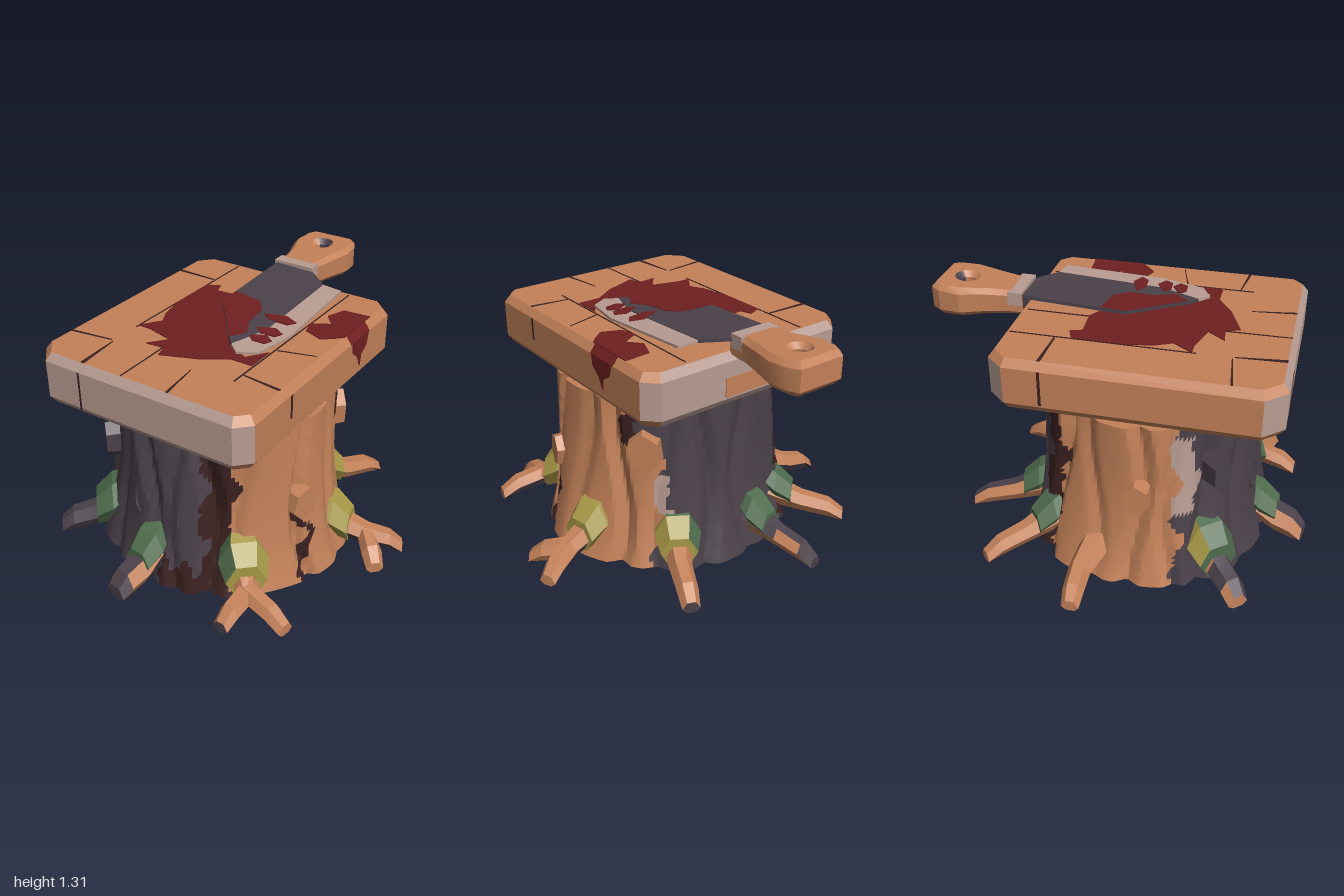
import * as THREE from 'three';
import { toCreasedNormals } from 'three/addons/utils/BufferGeometryUtils.js';

const material = (name, color) => {
  const m = new THREE.MeshStandardMaterial({ color });
  m.name = name;
  return m;
};
const wood = material('wood', 0xc38159);
const bark = material('darkBark', 0x4b414a);
const brown = material('darkBrown', 0x3a2120);
const pale = material('paleWood', 0xb89c91);
const blood = material('redStain', 0x6f1f20);
const green = material('greenMoss', 0x4e6b4c);
const yellow = material('yellowMoss', 0xa59746);

const CX = -0.03, CZ = 0.13; // stump axis
const V = (x, y, z) => new THREE.Vector3(x, y, z);
const rad = THREE.MathUtils.degToRad;

// Mesh whose triangles are sorted into material groups by normal and centre.
function painted(name, source, pick, crease = 0.6) {
  const p = (source.index ? source.toNonIndexed() : source).attributes.position;
  const buckets = new Map();
  const t = new THREE.Triangle(), n = V(), c = V();
  for (let i = 0; i < p.count; i += 3) {
    t.setFromAttributeAndIndices(p, i, i + 1, i + 2);
    t.getNormal(n);
    t.getMidpoint(c);
    const m = pick(n, c);
    if (!buckets.has(m)) buckets.set(m, []);
    for (const v of [t.a, t.b, t.c]) buckets.get(m).push(v.x, v.y, v.z);
  }
  const geo = new THREE.BufferGeometry(), all = [], mats = [];
  for (const [m, list] of buckets) {
    geo.addGroup(all.length / 3, list.length / 3, mats.length);
    mats.push(m);
    for (const v of list) all.push(v);
  }
  geo.setAttribute('position', new THREE.Float32BufferAttribute(all, 3));
  const mesh = new THREE.Mesh(toCreasedNormals(geo, crease), mats);
  mesh.name = name;
  return mesh;
}

// Skin a row of closed rings and cap both ends.
function loft(rings) {
  const pos = [], tri = (...vs) => vs.forEach(v => pos.push(v.x, v.y, v.z));
  const n = rings[0].length, last = rings.length - 1;
  const mid = ring => ring.reduce((s, v) => s.add(v), V()).divideScalar(n);
  const c0 = mid(rings[0]), c1 = mid(rings[last]);
  for (let i = 0; i < n; i++) {
    const j = (i + 1) % n;
    for (let k = 0; k < last; k++) {
      tri(rings[k][i], rings[k][j], rings[k + 1][j]);
      tri(rings[k][i], rings[k + 1][j], rings[k + 1][i]);
    }
    tri(c0, rings[0][j], rings[0][i]);
    tri(c1, rings[last][i], rings[last][j]);
  }
  const geo = new THREE.BufferGeometry();
  geo.setAttribute('position', new THREE.Float32BufferAttribute(pos, 3));
  return geo;
}

// Tapered six-sided limb through points [x, y, z, radius].
function limb(points) {
  return loft(points.map(([x, y, z, r], k) => {
    const a = points[Math.max(k - 1, 0)], b = points[Math.min(k + 1, points.length - 1)];
    const d = V(b[0] - a[0], 0, b[2] - a[2]).normalize();
    return Array.from({ length: 6 }, (_, i) => {
      const t = i * Math.PI / 3, s = Math.cos(t) * r;
      return V(x + d.z * s, Math.max(0, y + Math.sin(t) * r), z - d.x * s);
    });
  }));
}

// Horizontal slab from an [x, z] outline, base at height y.
function slab(points, y, depth, bevel = 0, bevelHeight = 0, hole) {
  const shape = new THREE.Shape(points.map(([x, z]) => new THREE.Vector2(x, -z)));
  if (hole) shape.holes.push(new THREE.Path().absarc(hole[0], -hole[1], hole[2], 0, Math.PI * 2));
  return new THREE.ExtrudeGeometry(shape, {
    depth: depth - 2 * bevelHeight, bevelEnabled: bevel > 0, bevelSegments: 1, curveSegments: 8,
    bevelSize: bevel, bevelThickness: bevelHeight, bevelOffset: -bevel,
  }).rotateX(-Math.PI / 2).translate(0, y + bevelHeight, 0);
}

function add(parent, name, geo, mat) {
  const mesh = new THREE.Mesh(geo, mat);
  mesh.name = name;
  parent.add(mesh);
  return mesh;
}

function makeStump() {
  // vertical grooves: [angle, depth, half width] in degrees
  const grooves = [[-52, .05, 7], [-28, .025, 6], [-6, .05, 7], [9, .03, 5], [25, .06, 7], [41, .03, 5],
    [72, .05, 4], [98, .025, 7], [120, .05, 6], [142, .03, 6], [163, .045, 6], [185, .03, 6],
    [208, .045, 6], [230, .05, 6], [252, .025, 6], [275, .045, 6], [292, .03, 5]];
  const radius = (deg, y) => {
    let r = 0.58 + 0.105 * Math.pow(1 - y / 0.9, 2.6) + 0.012 * Math.sin(rad(deg * 5) + y * 3);
    for (const [g, depth, w] of grooves) {
      const centre = g + 4 * Math.sin(y * 5 + g);
      const d = Math.abs(((deg - centre + 540) % 360) - 180);
      r -= depth * Math.max(0, 1 - d / w);
    }
    return r;
  };
  const rings = [];
  for (let k = 0; k <= 30; k++) {
    const y = k * 0.03;
    rings.push(Array.from({ length: 180 }, (_, i) => {
      const r = radius(i * 2, y), a = rad(i * 2);
      return V(CX + Math.sin(a) * r, y, CZ + Math.cos(a) * r * 0.96);
    }));
  }
  // colour bands around the trunk: [end angle, colour, lowest y, highest y]
  const bands = [[23, bark], [39, brown], [71, wood], [75, brown, 0, 0.55], [121, wood], [130, brown, 0.68, 1],
    [139, wood, 0, 0.68], [146, pale, 0.25, 0.5], [220, bark], [230, brown], [293, wood], [304, pale, 0.4, 0.82], [361, bark]];
  return painted('stump', loft(rings), (n, c) => {
    if (n.y < -0.9) return brown;
    if (n.y > 0.9) return wood;
    let a = THREE.MathUtils.radToDeg(Math.atan2(c.x - CX, c.z - CZ));
    a = (a + 360 + 3 * Math.sin(c.y * 19) + 1.5 * Math.sin(c.y * 41)) % 360;
    if (a > 4 && a < 39 && c.y < 0.13 + 0.05 * Math.sin(a * 0.5)) return brown;
    return bands.find(([end, , low = 0, high = 1]) => a < end && c.y >= low && c.y <= high)[1];
  }, 0.5);
}

function makeRoots() {
  const group = new THREE.Group();
  group.name = 'roots';
  const sunny = n => n.x > 0.2 ? yellow : green;
  // joint where the root bends or forks, tips, thickness, top colour, moss radius and colour rule
  const roots = [
    { joint: [-0.76, -0.08], tips: [[-0.94, -0.08]], top: wood },
    { joint: [-0.54, -0.44], tips: [[-0.7, -0.61]], top: wood, moss: 0.1, tint: () => green },
    { joint: [-0.21, -0.62], tips: [[-0.26, -0.84]], top: bark, moss: 0.1, tint: () => green },
    { joint: [0.37, -0.52], tips: [[0.47, -0.74]], top: wood, moss: 0.12, tint: sunny },
    { joint: [0.74, -0.05], tips: [[0.92, -0.14], [0.88, 0.1]], top: wood, moss: 0.12, tint: () => yellow },
    { joint: [0.47, 0.68], tips: [[0.72, 0.73], [0.45, 0.89]], top: wood, moss: 0.13, tint: sunny },
    { joint: [-0.09, 0.83], tips: [[-0.12, 0.985]], width: 1.4, top: bark, moss: 0.1, tint: () => green },
    { joint: [-0.58, 0.6], tips: [[-0.72, 0.72]], width: 1.2, top: bark, moss: 0.13, tint: n => n.z > 0.2 ? green : yellow },
  ];
  for (const { joint: [jx, jz], tips, width = 1, top, moss, tint } of roots) {
    const a = Math.atan2(jx - CX, jz - CZ);
    const at = (r, y, w) => [CX + Math.sin(a) * r, y, CZ + Math.cos(a) * r, w];
    const pick = n => {
      if (n.y < -0.6) return brown;
      if (top === bark) return Math.abs(n.x) > 0.75 ? wood : bark;
      return n.y < 0.45 && Math.abs(n.z) > 0.78 ? bark : wood;
    };
    for (const [tx, tz] of tips) {
      group.add(painted('root', limb([
        at(0.45, 0.22, 0.1), at(0.62, 0.15, 0.08), [jx, 0.1, jz, 0.06 * width],
        [jx + (tx - jx) * 0.65, 0.07, jz + (tz - jz) * 0.65, 0.055 * width], [tx, 0.02, tz, 0.045 * width],
      ]), pick, 0.3));
    }
    if (moss) group.add(painted('moss', limb([
      at(0.53, 0.26, moss * 0.75), at(0.62, 0.2, moss), at(0.71, 0.14, moss * 0.8),
    ]), tint, 0.3));
  }
  return group;
}

function makeKnots() {
  const group = new THREE.Group();
  group.name = 'knots';
  // angle, height, radius, vertical stretch, tilt, colour
  for (const [deg, y, r, stretch, tilt, mat] of [[-44, 0.6, 0.065, 1.8, 0, bark], [72, 0.46, 0.09, 1.2, -0.25, wood],
    [134, 0.66, 0.1, 1.3, 0.1, wood], [-85, 0.52, 0.085, 1.15, 0.1, wood]]) {
    const geo = new THREE.CylinderGeometry(r * 0.85, r, 0.16, 6).rotateX(Math.PI / 2).scale(1, stretch, 1).rotateZ(tilt);
    const knot = add(group, 'knot', toCreasedNormals(geo, 0.4), mat);
    const a = rad(deg);
    knot.position.set(CX + Math.sin(a) * 0.56, y, CZ + Math.cos(a) * 0.54);
    knot.rotation.y = a;
  }
  const swirl = add(group, 'barkSwirl', new THREE.TorusGeometry(0.045, 0.014, 5, 10).scale(1, 1.7, 1), bark);
  swirl.position.set(-0.16, 0.41, 0.685);
  swirl.rotation.set(-0.12, -0.2, 0);
  return group;
}

function makeBoard() {
  const group = new THREE.Group();
  group.name = 'choppingBoard';
  const outline = [[-0.56, -0.55], [0.5, -0.55], [0.57, -0.48], [0.57, 0.78], [0.5, 0.85],
    [-0.55, 0.85], [-0.64, 0.75], [-0.64, -0.46]];
  group.add(painted('board', slab(outline, 0.93, 0.27, 0.03, 0.04),
    n => Math.abs(n.z) > 0.62 ? pale : wood, 0.3));
  add(group, 'backPatch', new THREE.BoxGeometry(0.26, 0.1, 0.006), wood).position.set(0, 1.03, -0.551);
  // plank seams and cracks: from, to, width at each end
  for (const [x1, z1, x2, z2, w1, w2] of [
    [-0.37, -0.51, -0.37, 0.4, .006, .006], [-0.365, 0.58, -0.345, 0.82, .004, .02],
    [-0.61, -0.285, -0.38, -0.28, .016, .008], [-0.61, 0.6, -0.38, 0.57, .012, .006],
    [-0.13, -0.5, -0.13, 0.3, .006, .008], [-0.13, 0.3, -0.12, 0.82, .008, .005],
    [0.33, -0.5, 0.33, 0.58, .006, .007], [0.33, 0.51, 0.54, 0.535, .005, .014],
    [0.34, 0.23, 0.52, 0.18, .007, .003], [0.14, 0.82, 0.11, 0.6, .012, .003]]) {
    const d = new THREE.Vector2(x2 - x1, z2 - z1).normalize(), nx = -d.y / 2, nz = d.x / 2;
    add(group, 'crack', slab([[x1 + nx * w1, z1 + nz * w1], [x2 + nx * w2, z2 + nz * w2],
      [x2 - nx * w2, z2 - nz * w2], [x1 - nx * w1, z1 - nz * w1]], 1.199, 0.004), brown);
  }
  add(group, 'frontCrack', new THREE.BoxGeometry(0.01, 0.2, 0.006), brown).position.set(-0.35, 1.06, 0.849);
  add(group, 'sideCrack', new THREE.BoxGeometry(0.006, 0.12, 0.014), brown).position.set(0.569, 1.1, 0.48);
  add(group, 'sideCrack', new THREE.BoxGeometry(0.006, 0.18, 0.014), brown).position.set(-0.639, 1.07, -0.28);
  // stains on the top, with a drip over the left edge
  add(group, 'largeStain', slab([[-.37, -.2], [-.3, -.23], [-.28, -.17], [-.13, -.18], [0, -.1], [.1, .1], [.16, .33],
    [.25, .37], [.32, .27], [.32, .42], [.2, .42], [.08, .5], [-.1, .57], [-.12, .5], [-.22, .51], [-.15, .42],
    [-.3, .38], [-.37, .38], [-.3, .28], [-.34, .2], [-.37, .05]], 1.199, 0.006), blood);
  add(group, 'smallStain', slab([[.4, -.32], [.54, -.33], [.54, -.06], [.5, -.02], [.45, .02], [.35, -.02],
    [.33, -.1], [.42, -.15], [.36, -.22]], 1.199, 0.006), blood);
  const edge = add(group, 'edgeStain', new THREE.BoxGeometry(0.006, 0.052, 0.19), blood);
  edge.position.set(0.555, 1.18, -0.175);
  edge.rotation.z = 0.64;
  const drip = slab([[0, -.09], [0, -.26], [.07, -.24], [.1, -.19], [.16, -.18], [.1, -.15], [.06, -.1]], 0, 0.006);
  add(group, 'drip', drip.rotateZ(-Math.PI / 2), blood).position.set(0.568, 1.165, 0);
  return group;
}

function makeCleaver() {
  const group = new THREE.Group();
  group.name = 'cleaver';
  // blade leans on the board, so its parts share one tilted pivot
  const blade = new THREE.Group();
  blade.name = 'blade';
  const px = 0.1, pz = 0.35;
  const on = (name, pts, y, h, mat) => add(blade, name, slab(pts.map(([x, z]) => [x - px, z - pz]), y, h), mat);
  on('bladeBody', [[-.13, -.54], [.08, -.54], [.21, -.44], [.21, .12], [.14, .32], [.09, .27], [-.03, .12], [-.13, 0]], 0, 0.018, bark);
  on('cuttingEdge', [[.21, -.44], [.32, -.43], [.335, .1], [.29, .32], [.2, .37], [.14, .32], [.21, .12]], 0.002, 0.013, pale);
  on('bladeStain', [[-.128, -.12], [.03, -.1], [.09, -.03], [.1, .1], [.15, .2], [.1, .275], [-.03, .12], [-.128, 0]], 0.016, 0.005, blood);
  for (const [x, z, w] of [[.12, 0, .18], [.16, .13, .14], [.17, .21, .12]]) {
    on('edgeSpot', [[x, z], [x + w * .6, z - .04], [x + w, z - .01], [x + w * .85, z + .03], [x + w * .3, z + .035]], 0.014, 0.007, blood);
  }
  blade.position.set(px, 1.206, pz);
  blade.rotation.set(0.05, 0, -0.035);
  group.add(blade);
  // flared handle with a hanging hole and a pale band where it meets the blade
  const handle = slab([[-.14, -.52], [.085, -.52], [.085, -.605], [.105, -.7], [.14, -.84], [.13, -.94], [.1, -1], [-.15, -1],
    [-.185, -.95], [-.2, -.84], [-.155, -.7], [-.14, -.605]], 1.14, 0.17, 0.025, 0.03, [-0.03, -0.85, 0.04]);
  const p = handle.attributes.position;
  for (let i = 0; i < p.count; i++) { // thinner toward the blade
    const s = 1 - 0.6 * (p.getZ(i) + 1);
    p.setY(i, 1.225 + (p.getY(i) - 1.225) * s);
  }
  group.add(painted('handle', handle, n => n.y < -0.8 ? brown : n.z > 0.6 ? bark : wood, 0.4));
  add(group, 'ferrule', slab([[-.142, -.6], [.087, -.6], [.087, -.525], [-.142, -.525]], 1.22, 0.069), pale);
  return group;
}

export function createModel() {
  const model = new THREE.Group();
  model.name = 'choppingStump';
  model.add(makeStump(), makeRoots(), makeKnots(), makeBoard(), makeCleaver());
  const neck = painted('neck', new THREE.CylinderGeometry(0.36, 0.36, 0.05, 16), n => n.x > 0.6 ? wood : brown);
  neck.position.set(-0.13, 0.915, 0.18);
  model.add(neck);
  return model;
}
